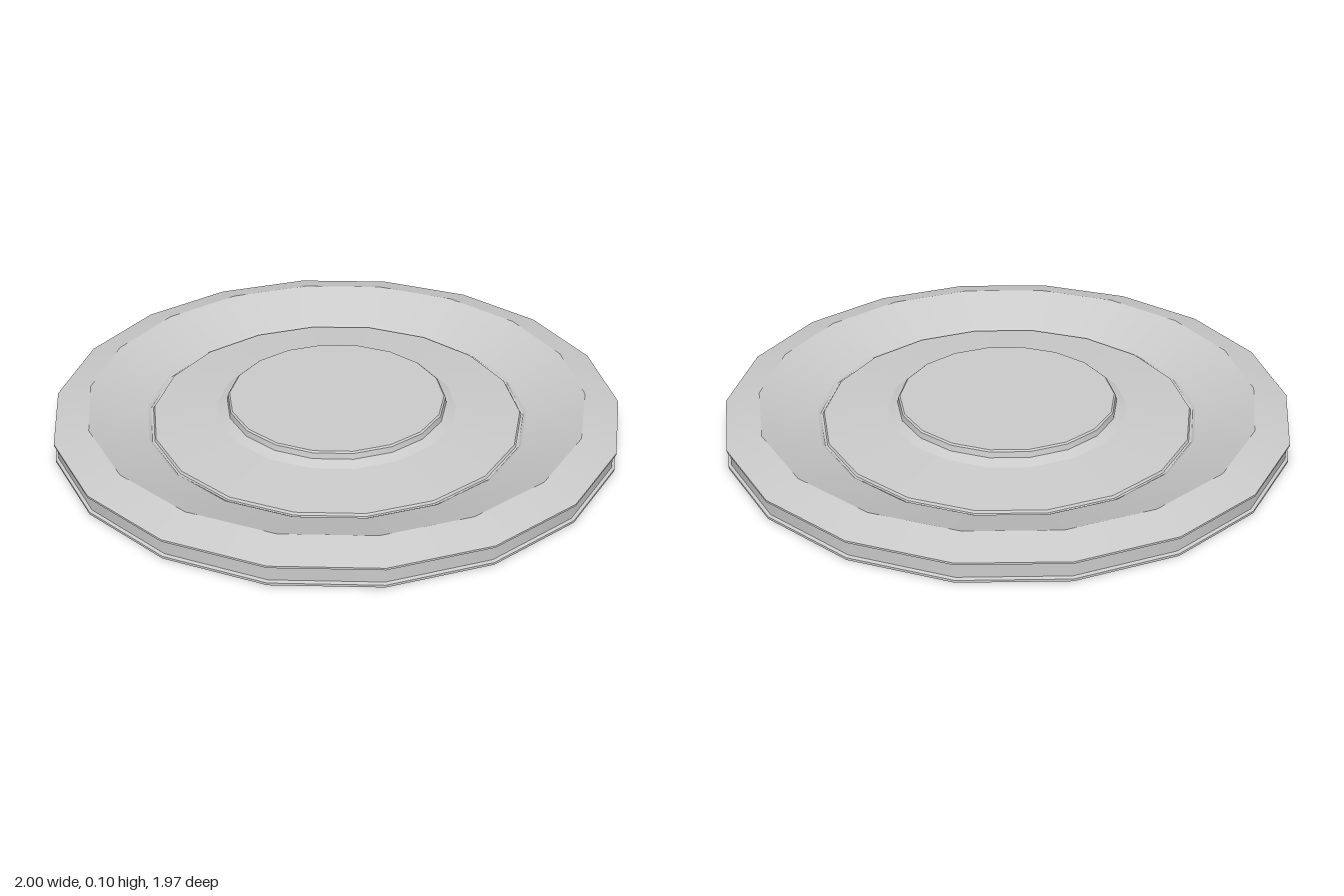
import * as THREE from 'three';
import { mergeGeometries } from 'three/addons/utils/BufferGeometryUtils.js';

const SIDES = 18;
const material = new THREE.MeshStandardMaterial({ color: 0xcccccc });

// Turned part: smooth around the axis, with a sharp crease at every profile point
function turned(name, profile) {
  const bands = [];
  for (let i = 0; i < profile.length - 1; i++) {
    const pair = [profile[i], profile[i + 1]].map(([r, y]) => new THREE.Vector2(r, y));
    bands.push(new THREE.LatheGeometry(pair, SIDES, Math.PI / 2));
  }
  const mesh = new THREE.Mesh(mergeGeometries(bands), material);
  mesh.name = name;
  return mesh;
}

export function createModel() {
  const group = new THREE.Group();
  group.name = 'roundPlate';

  // Flat underside with a thin projecting lip
  group.add(turned('base', [[0, 0], [1, 0], [1, 0.008], [0.99, 0.012]]));

  // Recessed side wall and the upper lip
  group.add(turned('sideWall', [[0.99, 0.012], [0.99, 0.06], [1, 0.063], [1, 0.07]]));

  // Rim: outer bevel up to the crest, then the slope down into the dish
  group.add(turned('rim', [[1, 0.07], [0.88, 0.1], [0.678, 0.022]]));

  // Narrow groove at the foot of the rim
  group.add(turned('groove', [[0.678, 0.022], [0.668, 0.015], [0.66, 0.015], [0.655, 0.023]]));

  // Shallow cone rising towards the middle
  group.add(turned('innerRing', [[0.655, 0.023], [0.427, 0.043], [0.392, 0.058]]));

  // Raised flat disc in the centre
  group.add(turned('centreDisc', [[0.392, 0.058], [0.388, 0.078], [0.382, 0.083], [0, 0.083]]));

  return group;
}
